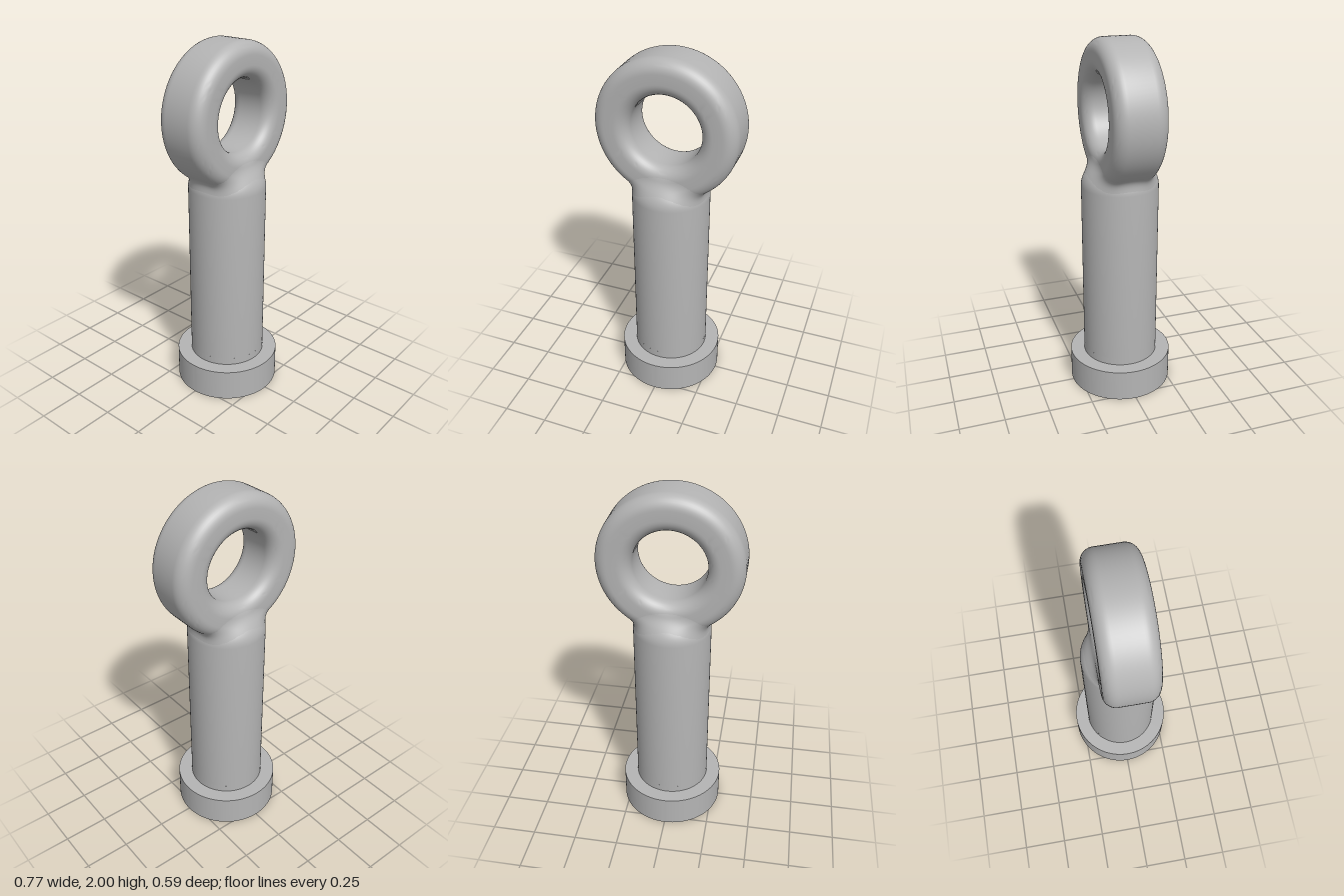
import * as THREE from 'three';
import { toCreasedNormals } from 'three/addons/utils/BufferGeometryUtils.js';

const SEG = 96;
const SHANK_R = 0.213, SHANK_TOP = 1.33, DOME_R = 0.12;
const RING = { y: 1.614, mid: 0.2905, halfW: 0.0955, halfD: 0.142, round: 0.07 };
const HEAD_H = 0.18, SOCKET_R = 0.165, SOCKET_DEPTH = 0.22;

// Distance to a rounded rectangle of half size (w, h)
function roundedRect(x, y, w, h, r) {
  const qx = Math.abs(x) - w + r, qy = Math.abs(y) - h + r;
  return Math.hypot(Math.max(qx, 0), Math.max(qy, 0)) + Math.min(Math.max(qx, qy), 0) - r;
}

// Shank and ring joined with a soft fillet
function filletedBody(x, y, z) {
  const ring = roundedRect(Math.hypot(x, y - RING.y) - RING.mid, z, RING.halfW, RING.halfD, RING.round);
  const shank = roundedRect(Math.hypot(x, z), y, SHANK_R, SHANK_TOP, DOME_R);
  const k = 0.06, h = Math.max(k - Math.abs(ring - shank), 0) / k;
  return Math.min(ring, shank) - h * h * k / 4;
}

// Disc with a hexagonal hole, extruded upwards from y0 to y1
function hexCollar(radius, y0, y1) {
  const shape = new THREE.Shape().absarc(0, 0, radius, 0, Math.PI * 2);
  const hex = [];
  for (let i = 0; i < 6; i++) {
    const a = -i * Math.PI / 3;
    hex.push(new THREE.Vector2(SOCKET_R * Math.cos(a), SOCKET_R * Math.sin(a)));
  }
  shape.holes.push(new THREE.Path(hex));
  const geo = new THREE.ExtrudeGeometry(shape, { depth: y1 - y0, bevelEnabled: false, curveSegments: SEG });
  geo.rotateX(-Math.PI / 2).translate(0, y0, 0);
  return toCreasedNormals(geo, 0.5);
}

// Shank with a domed top; its underside is the socket floor
function shankGeometry() {
  const pts = [new THREE.Vector2(0, SOCKET_DEPTH), new THREE.Vector2(SHANK_R, SOCKET_DEPTH)];
  for (let i = 0; i <= 12; i++) {
    const a = i / 12 * Math.PI / 2;
    pts.push(new THREE.Vector2(SHANK_R - DOME_R + DOME_R * Math.cos(a), SHANK_TOP - DOME_R + DOME_R * Math.sin(a)));
  }
  pts.push(new THREE.Vector2(0, SHANK_TOP));
  return toCreasedNormals(new THREE.LatheGeometry(pts, SEG), 0.5);
}

// Ring: rounded rectangle revolved about the z axis
function ringGeometry() {
  const { mid, halfW, halfD, round } = RING;
  const pts = [];
  [[1, 1], [-1, 1], [-1, -1], [1, -1]].forEach(([sx, sy], c) => {
    for (let i = 0; i <= 10; i++) {
      const a = (c + i / 10) * Math.PI / 2;
      pts.push(new THREE.Vector2(mid + sx * (halfW - round) + round * Math.cos(a),
        sy * (halfD - round) + round * Math.sin(a)));
    }
  });
  pts.push(pts[0].clone());
  const geo = new THREE.LatheGeometry(pts, SEG);
  return toCreasedNormals(geo.rotateX(Math.PI / 2).translate(0, RING.y, 0), 0.5);
}

// Neck: stacked cross-sections found on the filleted body
function neckGeometry() {
  const rows = 40, y0 = 1.19, y1 = 1.385, pos = [], index = [];
  for (let j = 0; j <= rows; j++) {
    const y = y0 + (y1 - y0) * j / rows;
    for (let i = 0; i < SEG; i++) {
      const a = i / SEG * Math.PI * 2, c = Math.cos(a), s = Math.sin(a);
      let lo = 0, hi = 0.5;
      for (let n = 0; n < 24; n++) {
        const m = (lo + hi) / 2;
        if (filletedBody(m * c, y, m * s) < 0) lo = m; else hi = m;
      }
      const r = lo - 0.001;
      pos.push(r * c, y, r * s);
      if (j < rows) {
        const p = j * SEG + i, q = j * SEG + (i + 1) % SEG;
        index.push(p, p + SEG, q, q, p + SEG, q + SEG);
      }
    }
  }
  const geo = new THREE.BufferGeometry();
  geo.setAttribute('position', new THREE.Float32BufferAttribute(pos, 3));
  geo.setIndex(index);
  geo.computeVertexNormals();
  return geo;
}

export function createModel() {
  const steel = new THREE.MeshStandardMaterial({ color: 0xb4b4b4 });
  steel.name = 'greySteel';
  const model = new THREE.Group();
  model.name = 'eyeBolt';
  const add = (name, geo) => {
    const mesh = new THREE.Mesh(geo, steel);
    mesh.name = name;
    model.add(mesh);
  };
  add('head', hexCollar(0.293, 0, HEAD_H));
  add('socketCollar', hexCollar(SHANK_R, HEAD_H, SOCKET_DEPTH));
  add('shank', shankGeometry());
  add('neckFillet', neckGeometry());
  add('eyeRing', ringGeometry());
  return model;
}
